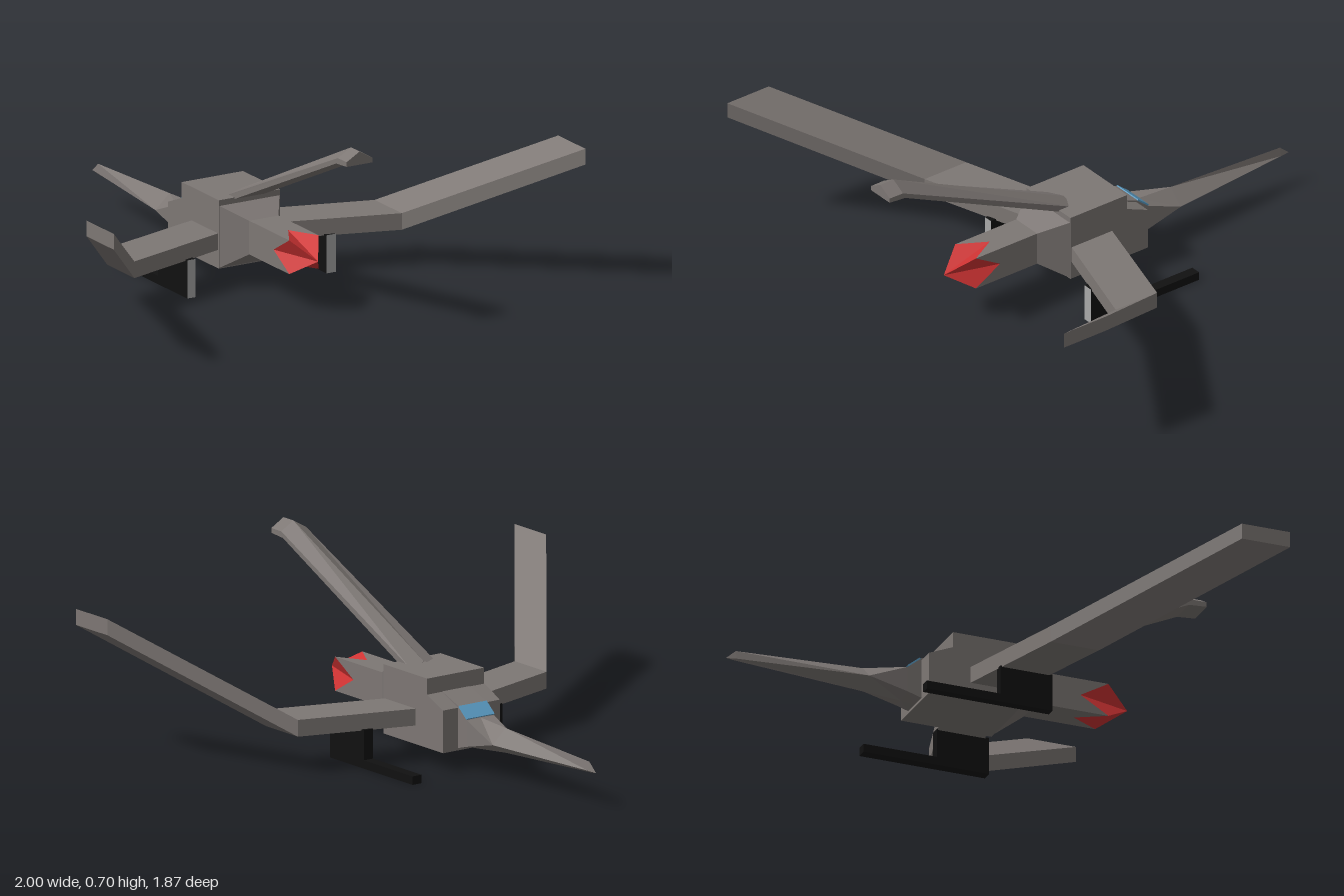
import * as THREE from 'three';

const material = (color) => new THREE.MeshStandardMaterial({ color, flatShading: true });

// Skins matching rings of points; rings run anticlockwise seen from the end of the loft
function loft(rings, caps = true) {
  const v = [];
  const tri = (a, b, c) => v.push(...a, ...b, ...c);
  const n = rings[0].length;
  for (let s = 0; s < rings.length - 1; s++) {
    const a = rings[s], b = rings[s + 1];
    for (let i = 0; i < n; i++) {
      const j = (i + 1) % n;
      tri(a[i], a[j], b[j]);
      tri(a[i], b[j], b[i]);
    }
  }
  if (caps) {
    const a = rings[0], b = rings[rings.length - 1];
    for (let i = 1; i < n - 1; i++) {
      tri(a[0], a[i + 1], a[i]);
      tri(b[0], b[i], b[i + 1]);
    }
  }
  const g = new THREE.BufferGeometry();
  g.setAttribute('position', new THREE.Float32BufferAttribute(v, 3));
  g.computeVertexNormals();
  return g;
}

// Eight-point rectangle; the edge midpoints may lie at another depth
function octRing(w, y0, y1, z, zMid = z) {
  const m = (y0 + y1) / 2;
  return [[w, y0, z], [w, m, zMid], [w, y1, z], [0, y1, zMid],
    [-w, y1, z], [-w, m, zMid], [-w, y0, z], [0, y0, zMid]];
}

export function createModel() {
  const model = new THREE.Group();
  model.name = 'spacecraft';
  const hull = material(0x7d7774);
  const black = material(0x111111);
  const pale = material(0xaaaaaa);
  const add = (name, geometry, mat) => {
    const mesh = new THREE.Mesh(geometry, mat);
    mesh.name = name;
    model.add(mesh);
    return mesh;
  };

  // Body: stepped side profile [z, y] carried across the width
  const profile = [[0.17, 0.07], [-0.185, 0.07], [-0.185, 0.23], [-0.09, 0.27], [-0.09, 0.33], [0.17, 0.33]];
  add('body', loft([-0.13, 0.13].map((x) => profile.map(([z, y]) => [x, y, z]))), hull);

  // Engine housing with a notched rear rim
  add('engineHousing', loft([
    octRing(0.13, 0.07, 0.31, 0.165),
    octRing(0.062, 0.14, 0.268, 0.27),
    octRing(0.062, 0.14, 0.268, 0.55, 0.44),
  ], false), hull);

  // Four-pointed exhaust cone filling the notches
  const rim = octRing(0.062, 0.14, 0.268, 0.55, 0.44);
  add('exhaust', loft([rim, rim.map(() => [0, 0.204, 0.65])], false), material(0xd03333));

  // Nose: box section easing into a pointed diamond [z, half width, bottom, lower side, upper side, top]
  const nose = [
    [-0.93, 0, 0.13, 0.13, 0.13, 0.13],
    [-0.89, 0.006, 0.126, 0.132, 0.132, 0.165],
    [-0.39, 0.06, 0.094, 0.132, 0.132, 0.187],
    [-0.24, 0.062, 0.084, 0.095, 0.193, 0.195],
    [-0.19, 0.062, 0.08, 0.08, 0.236, 0.236],
    [-0.08, 0.062, 0.08, 0.08, 0.275, 0.275],
  ];
  add('nose', loft(nose.map(([z, w, b, lo, hi, t]) =>
    [[0, b, z], [w, lo, z], [w, hi, z], [0, t, z], [-w, hi, z], [-w, lo, z]])), hull);

  // Cockpit window on the slope of the nose
  const glass = add('cockpitWindow', new THREE.BoxGeometry(0.126, 0.006, 0.062), material(0x5a9cc4));
  glass.position.set(0, 0.217, -0.215);
  glass.rotation.x = -0.68;

  // Tail fin: ridged beam sweeping up and back [width, bottom z, bottom y, shoulder y, top z, ridge y]
  const fin = [
    [0.063, 0.15, 0.315, 0.318, 0.1, 0.334],
    [0.056, 0.87, 0.645, 0.668, 0.88, 0.7],
    [0.055, 0.94, 0.65, 0.668, 0.94, 0.7],
  ];
  add('tailFin', loft(fin.map(([w, zb, yb, ys, zt, yt]) =>
    [[-w, yb, zb], [w, yb, zb], [w, ys, zt], [0, yt, zt], [-w, ys, zt]])), hull);

  // Cranked wings [x, front z, rear z, bottom y, top y]
  const wing = [
    [0.1, -0.03, 0.155, 0.14, 0.203],
    [0.567, 0.11, 0.3, 0.14, 0.203],
    [1, 0.68, 0.87, 0.47, 0.53],
  ];
  for (const side of [1, -1]) {
    const label = side > 0 ? 'left' : 'right';
    const rings = wing.map(([x, z0, z1, y0, y1]) =>
      [[side * x, y0, z0], [side * x, y1, z0], [side * x, y1, z1], [side * x, y0, z1]]);
    if (side < 0) rings.reverse();
    add(label + 'Wing', loft(rings), hull);

    // Pylon under the wing with a long barrel pointing forward
    const x = side > 0 ? 0.31 : -0.283;
    const width = side > 0 ? 0.04 : 0.034;
    const pylon = add(label + 'Pylon', new THREE.BoxGeometry(width, 0.145, 0.205),
      [black, black, black, black, pale, black]);
    pylon.position.set(x, 0.0725, 0.127);
    const barrel = add(label + 'Barrel', new THREE.BoxGeometry(width, 0.032, 0.29), black);
    barrel.position.set(x, 0.016, -0.12);
  }
  return model;
}
